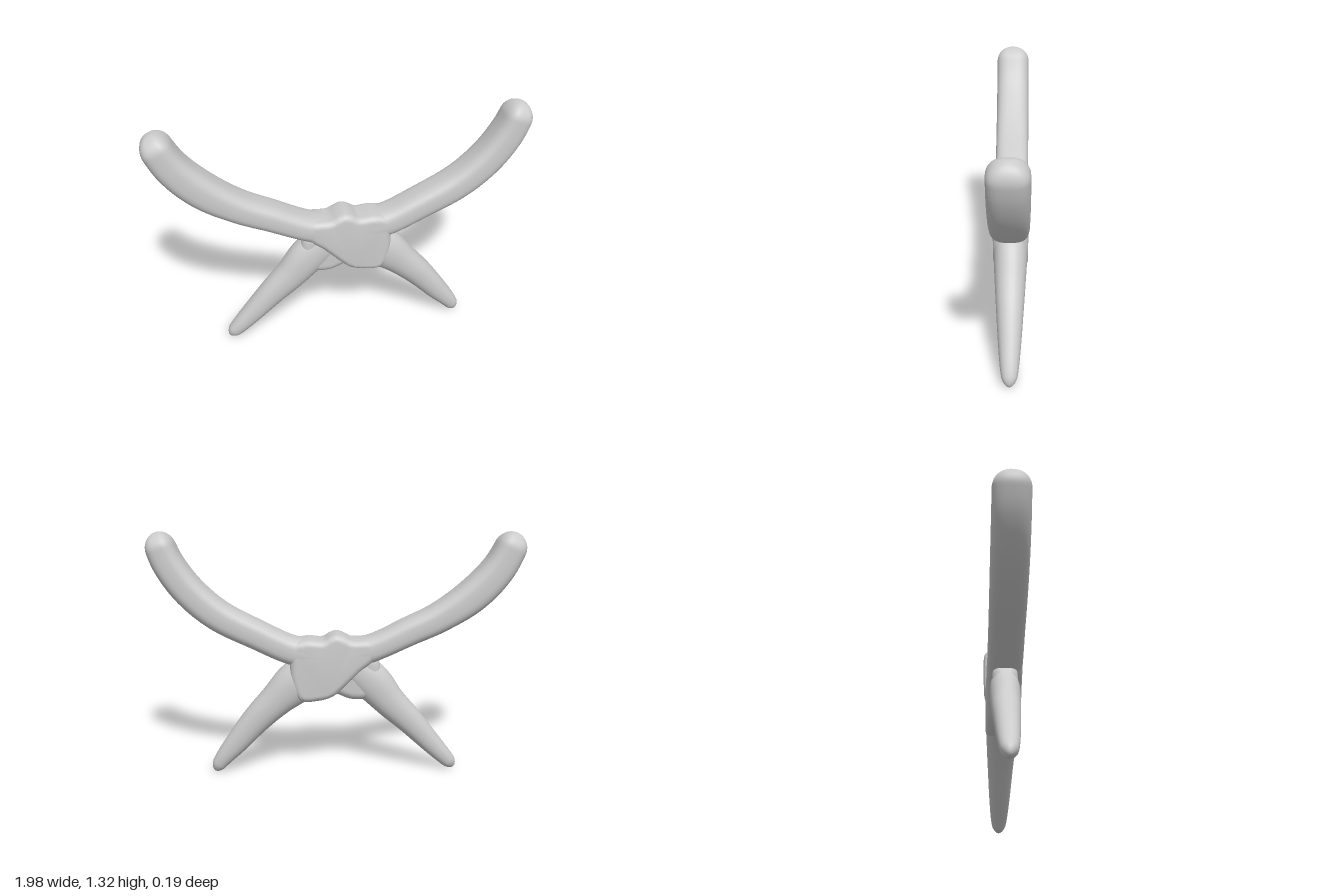
import * as THREE from 'three';
import { mergeVertices, toCreasedNormals } from 'three/addons/utils/BufferGeometryUtils.js';

const material = new THREE.MeshStandardMaterial({ color: 0xcccccc });

// Lofts a rounded limb in the xy plane through stations [x, y, halfWidth, halfDepth].
// The far end closes with a round tip of length `tip`; `power` squares off the section.
function limb(name, stations, tip, power) {
  const path = new THREE.CatmullRomCurve3(stations.map(s => new THREE.Vector3(s[0], s[1], 0)), false, 'catmullrom');
  const size = new THREE.CatmullRomCurve3(stations.map(s => new THREE.Vector3(s[2], s[3], 0)), false, 'catmullrom');
  const rings = 64, sides = 32;
  const end = path.getPoint(1);
  const pos = [], index = [];
  const soft = v => Math.sign(v) * Math.pow(Math.abs(v), 2 / power);
  for (let i = 0; i <= rings; i++) {
    const t = 1 - (1 - i / rings) ** 2;
    const p = path.getPoint(t), s = size.getPoint(t), d = path.getTangent(t);
    const left = p.distanceTo(end);
    const round = left < tip ? Math.sqrt(Math.max(0, 1 - ((tip - left) / tip) ** 2)) : 1;
    for (let j = 0; j < sides; j++) {
      const a = (j / sides) * Math.PI * 2;
      const w = soft(Math.cos(a)) * s.x * round;
      pos.push(p.x - d.y * w, p.y + d.x * w, soft(Math.sin(a)) * s.y * round);
      if (i < rings) {
        const k = (j + 1) % sides, a0 = i * sides + j, a1 = i * sides + k;
        index.push(a0, a1, a0 + sides, a1, a1 + sides, a0 + sides);
      }
    }
  }
  const geo = new THREE.BufferGeometry();
  geo.setAttribute('position', new THREE.Float32BufferAttribute(pos, 3));
  geo.setIndex(index);
  const welded = mergeVertices(geo, 1e-5);
  welded.computeVertexNormals();
  const mesh = new THREE.Mesh(welded, material);
  mesh.name = name;
  return mesh;
}

// Flat slab with soft edges from a smooth closed outline.
function slab(name, outline, halfDepth, bevel) {
  const shape = new THREE.Shape();
  const pts = outline.map(p => new THREE.Vector3(p[0], p[1], 0));
  const curve = new THREE.CatmullRomCurve3(pts, true, 'centripetal');
  shape.setFromPoints(curve.getPoints(90).slice(0, -1).map(p => new THREE.Vector2(p.x, p.y)));
  const depth = 2 * (halfDepth - bevel);
  const geo = new THREE.ExtrudeGeometry(shape, {
    depth, bevelEnabled: true, bevelThickness: bevel, bevelSize: bevel, bevelOffset: -bevel, bevelSegments: 6,
  });
  geo.translate(0, 0, -depth / 2);
  geo.deleteAttribute('uv');
  const mesh = new THREE.Mesh(toCreasedNormals(geo, 0.7), material);
  mesh.name = name;
  return mesh;
}

export function createModel() {
  const model = new THREE.Group();
  model.name = 'branchedFigure';

  // Upswept arms, constant depth with a squarish section
  model.add(limb('leftArm', [
    [-0.06, 0.66, 0.08, 0.09], [0.1, 0.665, 0.08, 0.092], [0.25, 0.695, 0.075, 0.093], [0.42, 0.775, 0.076, 0.093],
    [0.62, 0.88, 0.08, 0.094], [0.77, 1.01, 0.082, 0.095], [0.875, 1.16, 0.08, 0.095], [0.937, 1.32, 0.072, 0.094],
  ], 0.085, 2.9));
  model.add(limb('rightArm', [
    [0.06, 0.66, 0.08, 0.09], [-0.1, 0.675, 0.076, 0.092], [-0.22, 0.71, 0.07, 0.093], [-0.38, 0.785, 0.073, 0.093],
    [-0.55, 0.865, 0.078, 0.094], [-0.72, 0.98, 0.088, 0.095], [-0.855, 1.125, 0.085, 0.095], [-0.95, 1.31, 0.076, 0.094],
  ], 0.085, 2.9));

  // Tapering splayed legs
  model.add(limb('leftLeg', [
    [0.1, 0.6, 0.1, 0.085], [0.22, 0.51, 0.115, 0.088], [0.33, 0.41, 0.092, 0.08], [0.44, 0.3, 0.078, 0.07],
    [0.55, 0.17, 0.063, 0.058], [0.63, 0.075, 0.046, 0.046], [0.675, 0.005, 0.032, 0.03],
  ], 0.05, 2.2));
  model.add(limb('rightLeg', [
    [-0.06, 0.62, 0.09, 0.07], [-0.185, 0.515, 0.105, 0.078], [-0.29, 0.395, 0.088, 0.074], [-0.4, 0.285, 0.074, 0.066],
    [-0.52, 0.155, 0.058, 0.056], [-0.6, 0.07, 0.045, 0.046], [-0.655, 0.01, 0.032, 0.03],
  ], 0.05, 2.2));

  // Flat-faced body with a small knob on top, cut diagonally on its right
  model.add(slab('body', [
    [0, 0.785], [0.035, 0.775], [0.075, 0.753], [0.16, 0.757], [0.24, 0.73], [0.25, 0.62], [0.245, 0.52],
    [0.2, 0.425], [0.1, 0.422], [0.02, 0.447], [-0.04, 0.5], [-0.12, 0.58], [-0.2, 0.655],
    [-0.19, 0.745], [-0.08, 0.753], [-0.035, 0.775],
  ], 0.092, 0.035));

  // Recessed hip under the right side
  model.add(slab('rightHip', [
    [-0.2, 0.66], [-0.235, 0.6], [-0.22, 0.5], [-0.165, 0.428], [-0.08, 0.42], [0, 0.45], [0.06, 0.47], [0.04, 0.62],
  ], 0.066, 0.045));

  return model;
}
